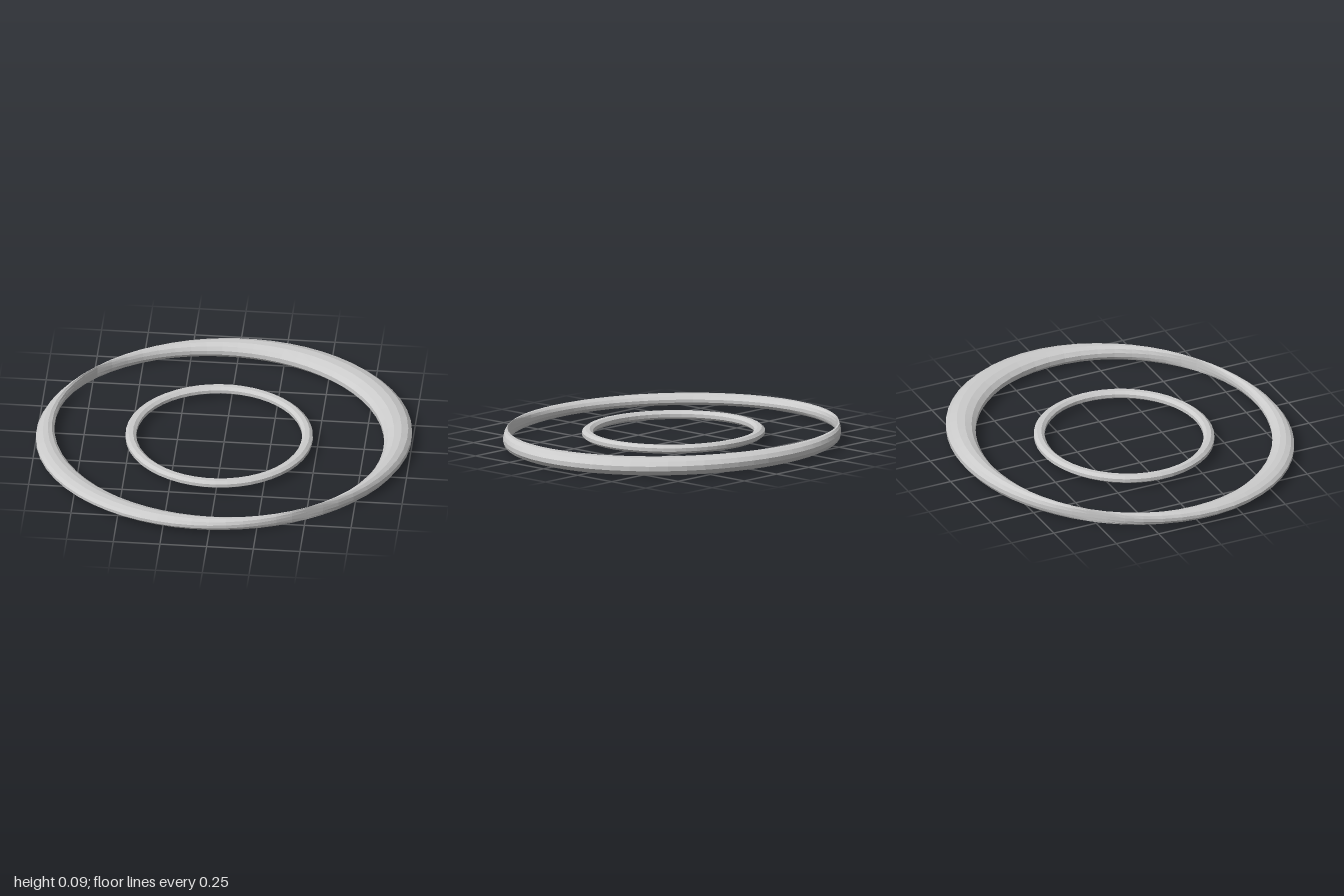
import * as THREE from 'three';

// Distance from the origin to an ellipse (centre cx, cz; radii rx, rz) along direction t
function rayToEllipse(t, [cx, cz, rx, rz]) {
  const dx = Math.cos(t) / rx, dz = Math.sin(t) / rz, ox = cx / rx, oz = cz / rz;
  const a = dx * dx + dz * dz, b = dx * ox + dz * oz, c = ox * ox + oz * oz - 1;
  return (b + Math.sqrt(b * b - a * c)) / a;
}

// Closed ring with an oval section spanning two ellipses seen from above
function ringGeometry(edgeA, edgeB, halfHeight, segments, sides) {
  const pos = [], index = [];
  for (let i = 0; i < segments; i++) {
    const t = (i / segments) * Math.PI * 2;
    const a = rayToEllipse(t, edgeA), b = rayToEllipse(t, edgeB);
    const mid = (a + b) / 2, half = Math.max(Math.abs(a - b) / 2, 0.002);
    const h = halfHeight(t);
    for (let j = 0; j < sides; j++) {
      const p = ((j + 0.5) / sides) * Math.PI * 2;
      const r = mid + half * Math.cos(p) / Math.cos(Math.PI / sides);
      pos.push(r * Math.cos(t), 0.05 + h * Math.sin(p), r * Math.sin(t));
      const i2 = ((i + 1) % segments) * sides, i1 = i * sides, j2 = (j + 1) % sides;
      index.push(i1 + j, i1 + j2, i2 + j2, i1 + j, i2 + j2, i2 + j);
    }
  }
  const g = new THREE.BufferGeometry();
  g.setAttribute('position', new THREE.Float32BufferAttribute(pos, 3));
  g.setIndex(index);
  g.computeVertexNormals();
  return g;
}

export function createModel() {
  const group = new THREE.Group();
  const material = new THREE.MeshStandardMaterial({ color: 0xcccccc, flatShading: true, side: THREE.DoubleSide });

  // Outer ring: two crescents between crossing ellipses, taller at the back left
  const outer = new THREE.Mesh(ringGeometry(
    [0.045, -0.04, 0.955, 0.85], [-0.07, 0.057, 0.93, 0.83],
    (t) => 0.04 + 0.009 * (0.76 * Math.cos(t) - 0.65 * Math.sin(t)), 60, 12), material);
  outer.name = 'outerCrescentRing';

  // Inner ring: slim and even
  const inner = new THREE.Mesh(ringGeometry(
    [-0.025, 0.015, 0.5, 0.477], [-0.025, 0.015, 0.443, 0.42], () => 0.024, 48, 8), material);
  inner.name = 'innerRing';

  group.add(outer, inner);
  return group;
}
